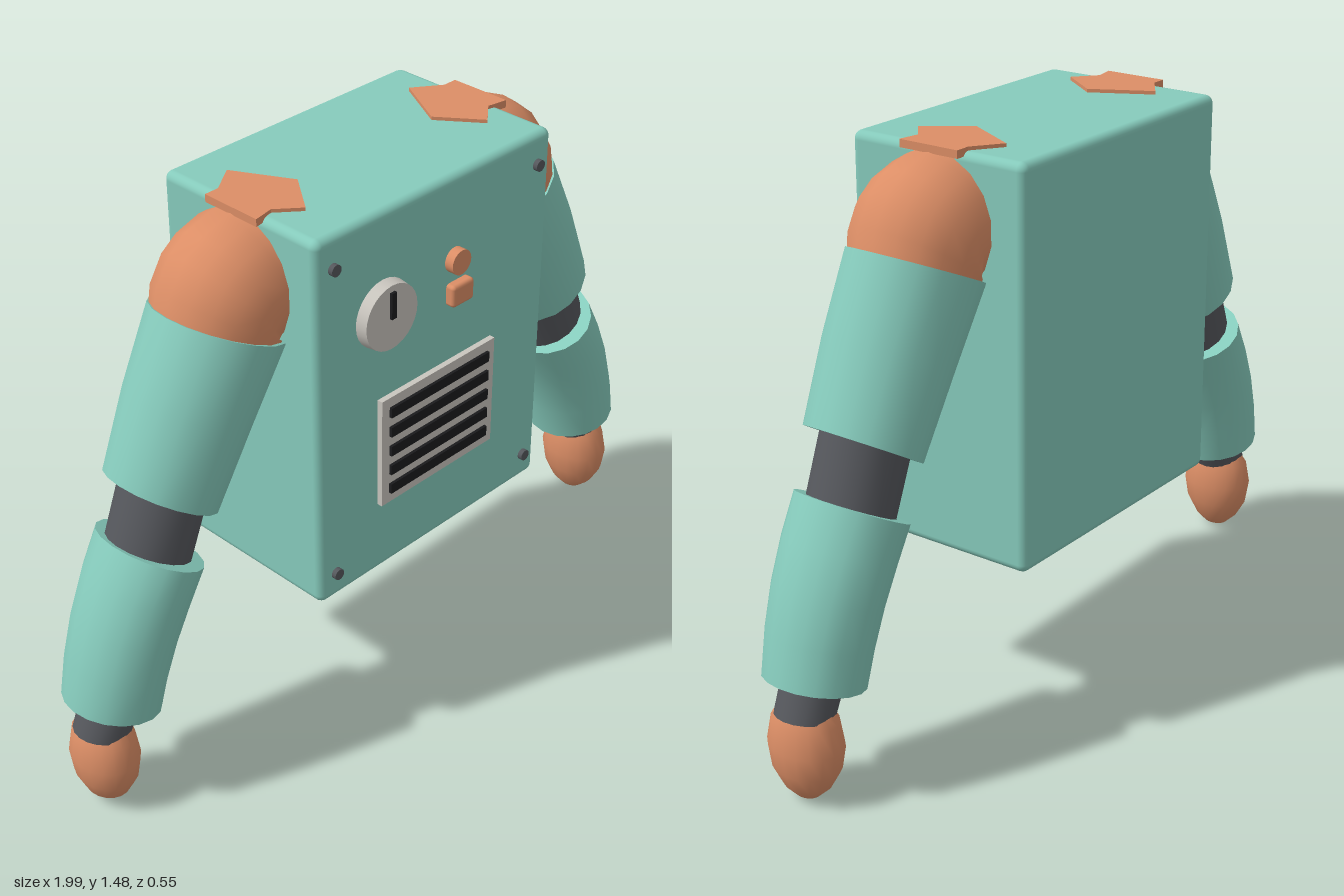
import * as THREE from 'three';
import { RoundedBoxGeometry } from 'three/addons/geometries/RoundedBoxGeometry.js';

const SIDES = 18;
const Z0 = -0.015; // depth of the arm centreline

// Lofts elliptical rings [x, y, tilt from straight down in degrees, radius across, radius in z]
function loft(rings, side) {
  const pos = [], idx = [];
  const tri = (a, b, c) => (side > 0 ? idx.push(a, b, c) : idx.push(a, c, b));
  const addRing = ([x, y, tilt, rx, rz]) => {
    const start = pos.length / 3, a = THREE.MathUtils.degToRad(tilt);
    for (let j = 0; j < SIDES; j++) {
      const t = (j / SIDES) * Math.PI * 2, c = Math.cos(t) * rx;
      pos.push(side * (x + Math.cos(a) * c), y + Math.sin(a) * c, Z0 + Math.sin(t) * rz);
    }
    return start;
  };
  const starts = rings.map(addRing);
  for (let i = 0; i < rings.length - 1; i++) {
    for (let j = 0; j < SIDES; j++) {
      const k = (j + 1) % SIDES, p = starts[i], q = starts[i + 1];
      tri(p + j, p + k, q + j);
      tri(p + k, q + k, q + j);
    }
  }
  // flat end caps with their own vertices so the rims stay sharp
  [rings[0], rings[rings.length - 1]].forEach((ring, end) => {
    const p = addRing(ring), centre = pos.length / 3;
    pos.push(side * ring[0], ring[1], Z0);
    for (let j = 0; j < SIDES; j++) {
      const k = (j + 1) % SIDES;
      if (end) tri(centre, p + j, p + k);
      else tri(centre, p + k, p + j);
    }
  });
  const g = new THREE.BufferGeometry();
  g.setAttribute('position', new THREE.Float32BufferAttribute(pos, 3));
  g.setIndex(idx);
  g.computeVertexNormals();
  return g;
}

export function createModel() {
  const material = (name, color) => {
    const m = new THREE.MeshStandardMaterial({ color });
    m.name = name;
    return m;
  };
  const teal = material('teal shell', 0x86cbbc);
  const copper = material('copper', 0xdc8e66);
  const darkGrey = material('dark grey joint', 0x55575c);
  const paleGrey = material('pale grey', 0xc9c5be);
  const black = material('black', 0x1b1b1d);

  const model = new THREE.Group();
  model.name = 'robotTorso';
  const add = (parent, name, geometry, mat, x = 0, y = 0, z = 0) => {
    const mesh = new THREE.Mesh(geometry, mat);
    mesh.name = name;
    mesh.position.set(x, y, z);
    parent.add(mesh);
    return mesh;
  };
  // disc facing the front
  const disc = (r, depth, rBack = r) =>
    new THREE.CylinderGeometry(r, rBack, depth, 28).rotateX(Math.PI / 2);

  // Torso box
  add(model, 'torso', new RoundedBoxGeometry(0.81, 1.025, 0.51, 3, 0.022), teal, 0, 0.9625, Z0 - 0.003);

  // Front panel controls
  const panel = new THREE.Group();
  panel.name = 'controlPanel';
  model.add(panel);
  add(panel, 'dial', disc(0.086, 0.035, 0.09), paleGrey, -0.19, 1.208, 0.25);
  add(panel, 'dialPointer', new THREE.BoxGeometry(0.016, 0.07, 0.008), black, -0.19, 1.242, 0.271);
  add(panel, 'roundButton', disc(0.033, 0.03), copper, 0.057, 1.25, 0.247);
  add(panel, 'squareButton', new RoundedBoxGeometry(0.076, 0.06, 0.034, 2, 0.01), copper, 0.068, 1.16, 0.246);
  add(panel, 'grille', new THREE.BoxGeometry(0.406, 0.31, 0.025), paleGrey, -0.003, 0.815, 0.24);
  for (let i = 0; i < 5; i++) {
    add(panel, 'grilleSlot', new THREE.BoxGeometry(0.354, 0.028, 0.009), black, -0.003, 0.929 - i * 0.0565, 0.256);
  }
  for (const x of [-0.352, 0.352]) {
    for (const y of [0.527, 1.393]) add(panel, 'screw', disc(0.015, 0.02), darkGrey, x, y, 0.24);
  }

  // Arms
  for (const side of [1, -1]) {
    const arm = new THREE.Group();
    arm.name = side > 0 ? 'leftArm' : 'rightArm';
    model.add(arm);

    add(arm, 'shoulder', loft([
      [0.27, 1.308, 90, 0.165, 0.16],
      [0.40, 1.298, 78, 0.172, 0.167],
      [0.445, 1.283, 66, 0.172, 0.168],
      [0.47, 1.262, 55, 0.171, 0.168],
      [0.48, 1.232, 35, 0.169, 0.166],
      [0.50, 1.165, 25, 0.155, 0.155],
    ], side), copper);

    // shoulder cap breaking through the top of the torso
    const outline = [[0.228, 0], [0.31, -0.152], [0.385, -0.1], [0.425, -0.1], [0.425, 0.07], [0.37, 0.06], [0.31, 0.11]];
    const cap = new THREE.ExtrudeGeometry(
      new THREE.Shape(outline.map(([x, z]) => new THREE.Vector2(side * x, -z))),
      { depth: 0.02, bevelEnabled: false });
    add(arm, 'shoulderCap', cap.rotateX(-Math.PI / 2), copper, 0, 1.464, 0);

    add(arm, 'upperSleeve', loft([
      [0.479, 1.21, 25, 0.17, 0.17],
      [0.583, 1.025, 27, 0.158, 0.162],
      [0.682, 0.829, 31, 0.142, 0.15],
    ], side), teal);
    add(arm, 'elbow', loft([
      [0.655, 0.88, 30, 0.11, 0.112],
      [0.75, 0.64, 27, 0.108, 0.11],
    ], side), darkGrey);
    add(arm, 'forearmSleeve', loft([
      [0.7275, 0.687, 28, 0.125, 0.15],
      [0.778, 0.595, 25, 0.126, 0.147],
      [0.822, 0.5, 21, 0.125, 0.142],
      [0.856, 0.4, 17, 0.123, 0.136],
      [0.88, 0.3, 14, 0.121, 0.129],
    ], side), teal);
    add(arm, 'wrist', loft([
      [0.873, 0.33, 16, 0.072, 0.078],
      [0.918, 0.225, 10, 0.072, 0.074],
    ], side), darkGrey);
    add(arm, 'hand', loft([
      [0.915, 0.25, 0, 0.05, 0.065],
      [0.916, 0.215, 0, 0.07, 0.09],
      [0.917, 0.15, 0, 0.08, 0.102],
      [0.918, 0.09, 0, 0.073, 0.092],
      [0.918, 0.04, 0, 0.052, 0.064],
      [0.918, 0.012, 0, 0.028, 0.034],
      [0.918, 0.002, 0, 0.008, 0.01],
    ], side), copper);
  }
  return model;
}
